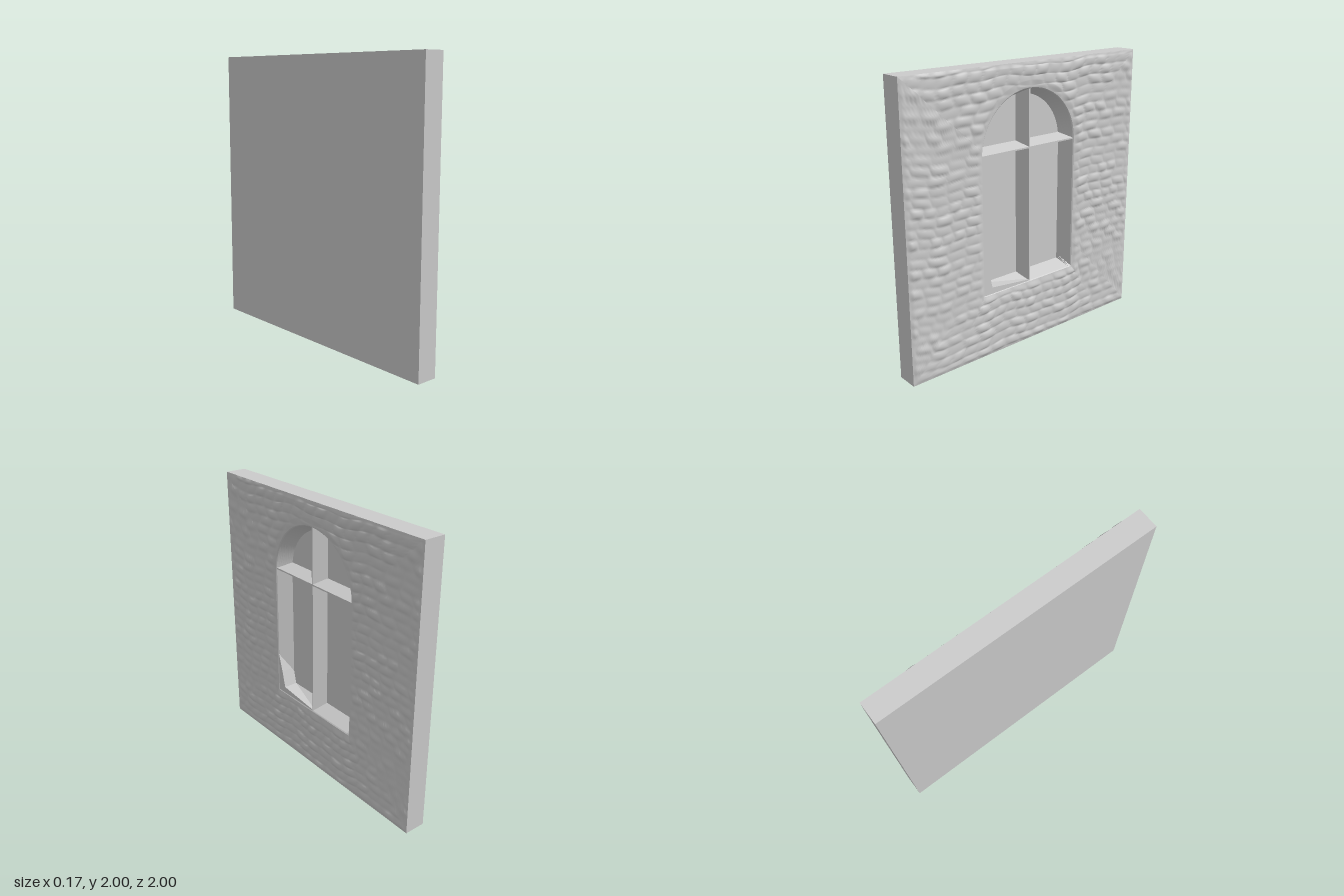
import * as THREE from 'three';

const mat = new THREE.MeshStandardMaterial({ color: 0xcccccc });
const flat = new THREE.MeshStandardMaterial({ color: 0xcccccc, flatShading: true });
const CY = 1.1, SPRING = 1.42;          // ray centre and springing line of the arch
const BACK = -0.09, FLOOR = -0.045, FACE = 0.062;
const OUTER = [0.41, 0.45], INNER = [0.358, 0.5];   // half width, sill height

// Distance along a ray from the centre to the arched outline
function archRadius(a, [hw, sill]) {
  const c = Math.cos(a), s = Math.sin(a), h = SPRING - CY;
  let t = hw / Math.max(Math.abs(c), 1e-6);
  if (t * s > h) t = s * h + Math.sqrt(s * s * h * h - h * h + hw * hw);
  return s < 0 ? Math.min(t, (CY - sill) / -s) : t;
}

// Distance along a ray from the centre to the square wall border
function wallRadius(a) {
  const c = Math.cos(a), s = Math.sin(a);
  return Math.min(1 / Math.max(Math.abs(c), 1e-6), (s > 0 ? 2 - CY : CY) / Math.max(Math.abs(s), 1e-6));
}

// Evenly spread angles plus the exact corners of every outline
function makeAngles(n) {
  const list = Array.from({ length: n }, (_, i) => -Math.PI + (i + 0.37) * 2 * Math.PI / n);
  for (const x of [-1, 1]) {
    for (const [hw, y] of [[1, 0], [1, 2], OUTER, INNER]) list.push(Math.atan2(y - CY, x * hw));
  }
  return list.sort((p, q) => p - q);
}
const angles = makeAngles(520);

// Closed rings joined into a skin; point(angle, ring) gives [x, y, z]
function ringSkin(rings, point) {
  const pos = [], idx = [], n = angles.length;
  for (let r = 0; r < rings; r++) for (const a of angles) pos.push(...point(a, r));
  for (let r = 0; r < rings - 1; r++) {
    for (let i = 0; i < n; i++) {
      const j = (i + 1) % n, o = r * n, q = o + n;
      idx.push(o + i, o + j, q + j, o + i, q + j, q + i);
    }
  }
  const g = new THREE.BufferGeometry();
  g.setAttribute('position', new THREE.Float32BufferAttribute(pos, 3));
  g.setIndex(idx);
  g.computeVertexNormals();
  return g;
}

const hash = (a, b) => {
  const v = Math.sin(a * 127.1 + b * 311.7) * 43758.5453;
  return v - Math.floor(v);
};

// Soft rubble courses: each stone is a low pillow of its own height
function stone(x, y) {
  const yy = y + 0.012 * Math.sin(x * 7) + 0.006 * Math.sin(x * 17 + 2);
  const row = Math.floor(yy / 0.066), fy = yy / 0.066 - row;
  const w = 0.09 + 0.06 * hash(row, 3);
  const xx = (x + 2 + hash(row, 9) + 0.012 * Math.sin(y * 31)) / w;
  const col = Math.floor(xx), fx = xx - col;
  const pillow = Math.pow(Math.sin(Math.PI * fx) * Math.sin(Math.PI * fy), 0.6);
  return 0.003 + pillow * (0.004 + 0.011 * hash(row, col));
}

const at = (a, r, z) => [Math.cos(a) * r, CY + Math.sin(a) * r, z];

function facePoint(a, ring, last) {
  const t = 1 - ring / last;
  const ro = archRadius(a, OUTER), rw = wallRadius(a), r = ro + (rw - ro) * t;
  const [x, y] = at(a, r, 0);
  const fade = Math.min(1, (r - ro) / 0.05, (rw - r) / 0.03);
  return [x, y, FACE + stone(x, y) * fade];
}

// Tapered glazing bar running along y from 0 to length, with a narrow crest
function barGeometry(length, base, crest) {
  const s = new THREE.Shape([
    new THREE.Vector2(-base, -FLOOR + 0.01), new THREE.Vector2(-crest, -FACE + 0.006),
    new THREE.Vector2(crest, -FACE + 0.006), new THREE.Vector2(base, -FLOOR + 0.01)]);
  return new THREE.ExtrudeGeometry(s, { depth: length, bevelEnabled: false }).rotateX(-Math.PI / 2);
}

export function createModel() {
  const root = new THREE.Group();
  const panel = new THREE.Group();
  panel.name = 'wallPanel';
  panel.rotation.y = Math.PI / 2;   // the window looks along +x
  root.add(panel);
  const add = (name, geometry, material = flat) => {
    const m = new THREE.Mesh(geometry, material);
    m.name = name;
    panel.add(m);
    return m;
  };

  // Backing slab, whose front is also the floor of the recess
  add('backSlab', new THREE.BoxGeometry(2, 2, FLOOR - BACK)).position.set(0, 1, (FLOOR + BACK) / 2);

  // Wall edges and stone face
  add('wallEdges', ringSkin(2, (a, r) => at(a, wallRadius(a), r ? FACE : FLOOR)));
  add('stoneFace', ringSkin(73, (a, r) => facePoint(a, r, 72)), mat);

  // Splayed sides of the arched recess, with a softened rim
  add('windowReveal', ringSkin(3, (a, r) => {
    const ro = archRadius(a, OUTER), ri = archRadius(a, INNER);
    return at(a, ro + (ri - ro) * [0, 0.12, 1][r], [FACE, FACE - 0.006, FLOOR][r]);
  }), flat);

  // Cross of glazing bars
  add('verticalBar', barGeometry(1.37, 0.042, 0.005)).position.y = 0.455;
  const cross = add('crossBar', barGeometry(0.81, 0.039, 0.005));
  cross.rotation.z = -Math.PI / 2;
  cross.position.set(-0.405, 1.427, 0);

  // Uneven ledge left in the lower corner of the recess
  const ledge = new THREE.Shape([[-0.41, 0.45], [0, 0.45], [0, 0.462], [-0.335, 0.5], [-0.365, 0.62], [-0.41, 0.77]]
    .map(([x, y]) => new THREE.Vector2(x, y)));
  add('cornerLedge', new THREE.ExtrudeGeometry(ledge, { depth: FACE - 0.004 - FLOOR, bevelEnabled: false }))
    .position.z = FLOOR;

  return root;
}
